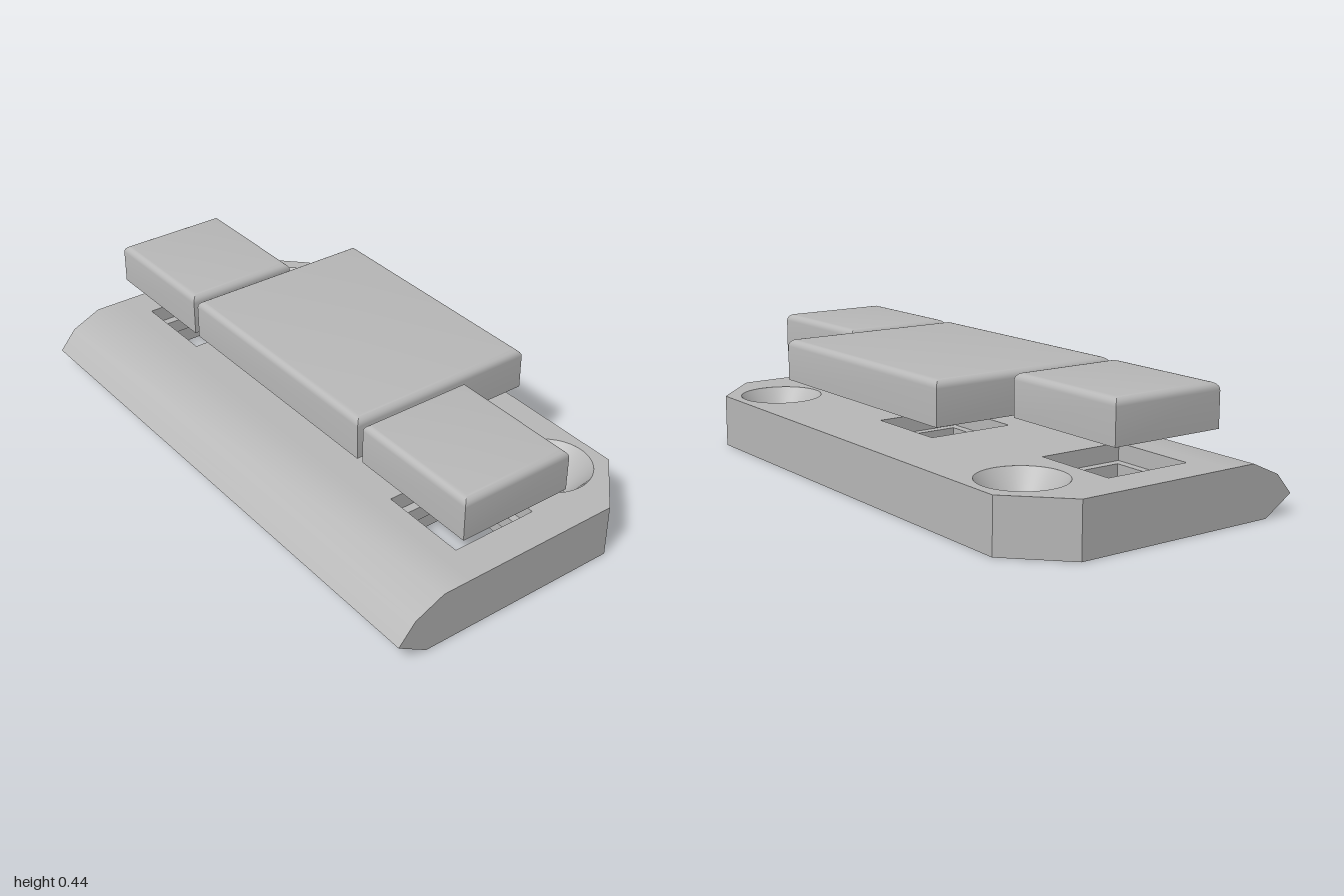
import * as THREE from 'three';
import { toCreasedNormals } from 'three/addons/utils/BufferGeometryUtils.js';

const SIDE_X = 0.715, SIDE_Z = 0.03, MID_Z = -0.105;
const SWITCHES = [[-SIDE_X, SIDE_Z], [0, MID_Z], [SIDE_X, SIDE_Z]];
const SCREW_X = 0.725, SCREW_Z = -0.33, TOP = 0.183, SEAT = 0.075;
const CREASE = 0.55;

// Horizontal layer of the plate with square switch openings and round screw holes
function plateLayer(y0, y1, opening, screwRadius) {
  const s = new THREE.Shape();
  [[-1, -0.24], [1, -0.24], [1, 0.33], [0.82, 0.508], [-0.82, 0.508], [-1, 0.33]]
    .forEach(([x, y], i) => (i ? s.lineTo(x, y) : s.moveTo(x, y)));
  s.closePath();
  const h = opening / 2;
  for (const [x, z] of SWITCHES) {
    const hole = new THREE.Path();
    hole.moveTo(x - h, -z - h).lineTo(x - h, -z + h).lineTo(x + h, -z + h).lineTo(x + h, -z - h);
    hole.closePath();
    s.holes.push(hole);
  }
  for (const side of [-1, 1]) {
    s.holes.push(new THREE.Path().absarc(side * SCREW_X, -SCREW_Z, screwRadius, 0, Math.PI * 2, true));
  }
  const g = new THREE.ExtrudeGeometry(s, { depth: y1 - y0, bevelEnabled: false, curveSegments: 40 });
  g.rotateX(-Math.PI / 2).translate(0, y0, 0);
  return toCreasedNormals(g, CREASE);
}

// Sloping front edge, extruded along x from its side profile
function noseGeometry() {
  const s = new THREE.Shape();
  [[0.24, 0], [0.4, 0], [0.505, 0.065], [0.445, 0.135], [0.34, TOP], [0.24, TOP]]
    .forEach(([z, y], i) => (i ? s.lineTo(-z, y) : s.moveTo(-z, y)));
  s.closePath();
  const g = new THREE.ExtrudeGeometry(s, { depth: 2, bevelEnabled: false });
  g.rotateY(Math.PI / 2).translate(-1, 0, 0);
  return toCreasedNormals(g, CREASE);
}

// Skin of rectangular rings [halfX, halfZ, y]
function ringSkin(rings) {
  const corners = [[1, 1], [1, -1], [-1, -1], [-1, 1]];
  const pos = [], index = [];
  for (const [hx, hz, y] of rings) for (const [cx, cz] of corners) pos.push(cx * hx, y, cz * hz);
  for (let r = 0; r < rings.length - 1; r++) {
    for (let i = 0; i < 4; i++) {
      const j = (i + 1) % 4;
      const a = r * 4 + i, b = r * 4 + j;
      index.push(a, b, b + 4, a, b + 4, a + 4);
    }
  }
  const g = new THREE.BufferGeometry();
  g.setAttribute('position', new THREE.Float32BufferAttribute(pos, 3));
  g.setIndex(index);
  return toCreasedNormals(g, CREASE);
}

// Hollow keycap with rounded top edges
function capGeometry(w, d) {
  const hx = w / 2, hz = d / 2, wall = 0.035, low = 0.297, high = 0.44, r = 0.025;
  const rings = [
    [0, 0, 0.39], [hx - wall, hz - wall, 0.39], [hx - wall, hz - wall, low], [hx, hz, low],
  ];
  for (let i = 0; i <= 5; i++) {
    const a = (i / 5) * Math.PI / 2, inset = r * (1 - Math.cos(a));
    rings.push([hx - inset, hz - inset, high - r + r * Math.sin(a)]);
  }
  rings.push([0, 0, high]);
  return ringSkin(rings);
}

export function createModel() {
  const model = new THREE.Group();
  model.name = 'keyPad';
  const grey = new THREE.MeshStandardMaterial({ color: 0xb8b8b8 });
  grey.name = 'light grey';
  const add = (parent, name, geometry, x = 0, y = 0, z = 0) => {
    const mesh = new THREE.Mesh(geometry, grey);
    mesh.name = name;
    mesh.position.set(x, y, z);
    parent.add(mesh);
    return mesh;
  };

  // Base plate: stepped switch openings and countersunk screw holes
  const plate = new THREE.Group();
  plate.name = 'basePlate';
  model.add(plate);
  add(plate, 'plateBottom', plateLayer(0, SEAT, 0.31, 0.06));
  add(plate, 'plateLedge', plateLayer(SEAT, 0.125, 0.25, 0.145));
  add(plate, 'plateTop', plateLayer(0.125, TOP, 0.31, 0.145));
  add(plate, 'plateNose', noseGeometry());
  const sink = [new THREE.Vector2(0.145, TOP), new THREE.Vector2(0.06, SEAT)];
  for (const side of [-1, 1]) {
    add(plate, 'countersink', new THREE.LatheGeometry(sink, 64), side * SCREW_X, 0, SCREW_Z);
  }

  // Keycaps floating above the switch openings
  for (const [x, z] of SWITCHES) {
    const key = new THREE.Group();
    key.name = x === 0 ? 'centreKey' : x > 0 ? 'leftKey' : 'rightKey';
    key.position.set(x, 0, z);
    model.add(key);
    add(key, 'keycap', x === 0 ? capGeometry(0.905, 0.68) : capGeometry(0.475, 0.408));
    const foot = x === 0 ? 0.298 : 0.293;
    add(key, 'stem', new THREE.BoxGeometry(0.125, 0.395 - foot, 0.125), 0, (0.395 + foot) / 2, 0);
  }
  return model;
}
